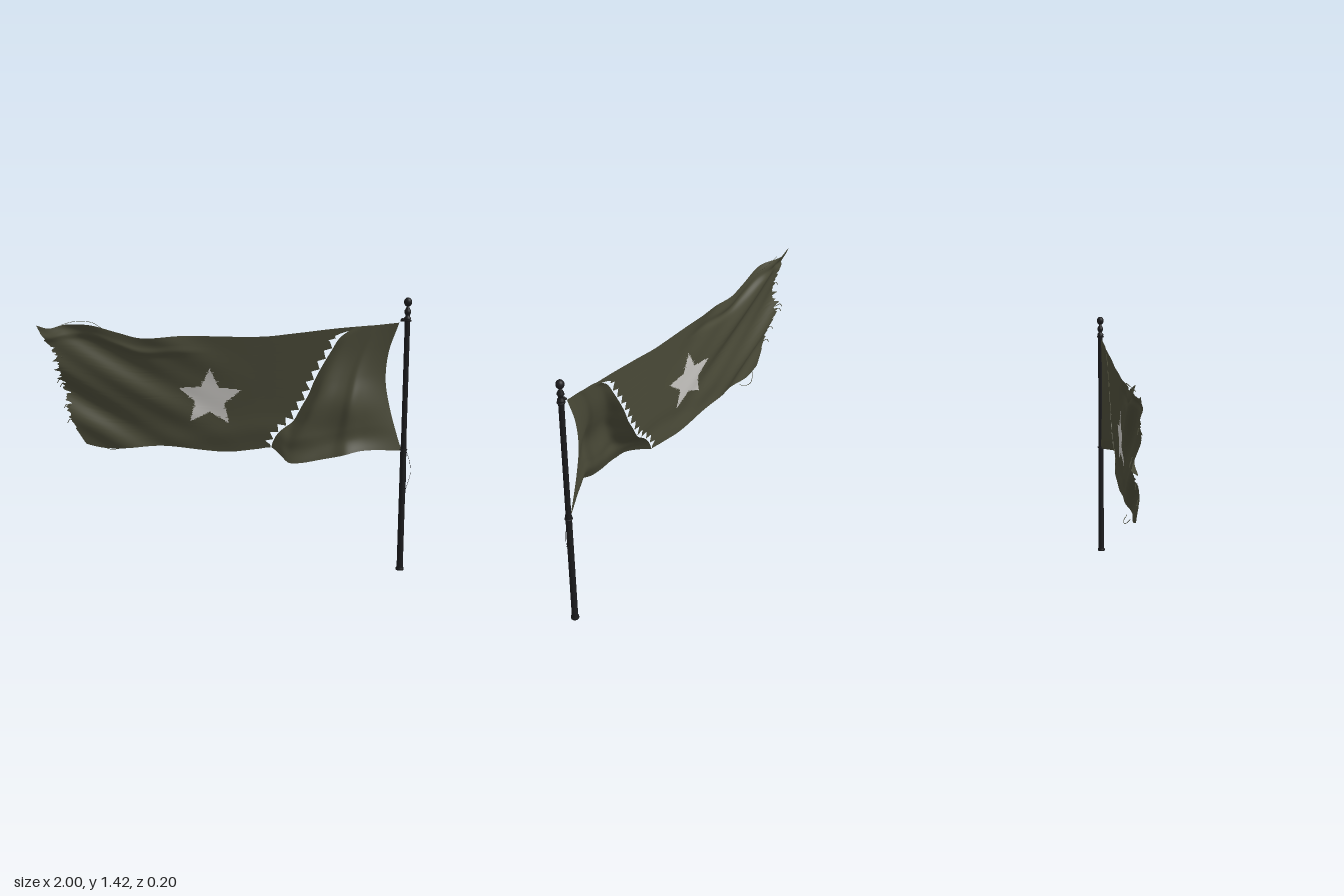
import * as THREE from 'three';

// Smooth interpolation through a short table of [position, value] pairs
function at(pts, t) {
  const n = pts.length - 1;
  if (t <= pts[0][0]) return pts[0][1];
  if (t >= pts[n][0]) return pts[n][1];
  let i = 0;
  while (t > pts[i + 1][0]) i++;
  const slope = (k) => {
    const a = pts[Math.max(k - 1, 0)], b = pts[Math.min(k + 1, n)];
    return (b[1] - a[1]) / (b[0] - a[0]);
  };
  const h = pts[i + 1][0] - pts[i][0], s = (t - pts[i][0]) / h, s2 = s * s, s3 = s2 * s;
  return (2 * s3 - 3 * s2 + 1) * pts[i][1] + (s3 - 2 * s2 + s) * h * slope(i)
    + (3 * s2 - 2 * s3) * pts[i + 1][1] + (s3 - s2) * h * slope(i + 1);
}

// Outline of the cloth: hems by x, side edges by height fraction v
const topHem = [[-1, 1.23], [-0.93, 1.215], [-0.85, 1.235], [-0.7, 1.24], [-0.55, 1.205], [-0.42, 1.178],
  [-0.2, 1.195], [0.22, 1.203], [0.4, 1.225], [0.6, 1.253], [0.8, 1.275], [0.92, 1.29]];
const bottomHem = [[-1, 0.68], [-0.8, 0.64], [-0.73, 0.6], [-0.6, 0.58], [-0.3, 0.605], [0.03, 0.59],
  [0.2, 0.612], [0.28, 0.625], [0.34, 0.61], [0.4, 0.578], [0.6, 0.61], [0.75, 0.645], [0.95, 0.635]];
const flyEdge = [[0, -0.73], [0.08, -0.78], [0.2, -0.82], [0.36, -0.84], [0.5, -0.87], [0.65, -0.88],
  [0.78, -0.9], [0.9, -0.955], [1, -1]];
const tearEdge = [[0, 0.275], [0.06, 0.285], [0.14, 0.31], [0.23, 0.355], [0.31, 0.395], [0.41, 0.43],
  [0.5, 0.465], [0.61, 0.495], [0.72, 0.535], [0.83, 0.58], [0.93, 0.625], [1, 0.7]];
const hoistEdge = [[0, 0.95], [0.14, 0.92], [0.33, 0.885], [0.55, 0.86], [0.78, 0.872], [1, 0.92]];

const ramp = (x, a, b) => THREE.MathUtils.smoothstep(x, a, b);
const ridge = (d, w) => Math.exp(-(d * d) / (w * w));

// Depth of the main panel: diagonal folds that grow toward the fly end
function mainDepth(x, y) {
  const e = 1 - ramp(x, -0.75, 0.2);
  const p = y + 0.5 * (x + 0.9) - 0.12 * (x + 0.9) ** 2;
  const hem = at(topHem, x) - 0.05 - 0.03 * ramp(x, -0.9, -0.2);
  return -0.047 - 0.015 * e + 0.017 * e * Math.sin(19 * p) + 0.007 * e * Math.sin(37 * p + 5 * x)
    + 0.01 * ridge(y - hem, 0.02) * ramp(-x, 0, 0.4)
    + 0.006 * ridge(y - 0.68 - 0.04 * Math.sin(6 * x), 0.06)
    - 0.012 * ramp(x, 0.3, 0.8);
}

// Depth of the hoist panel: a belly that swells toward the bottom
const bellyAcross = [[0, 0], [0.12, 0.82], [0.2, 1], [0.4, 0.87], [0.5, 0.85], [0.6, 0.93], [0.74, 0.6], [1, 0]];
const bellyUp = [[0, 1], [0.1, 0.84], [0.2, 0.84], [0.4, 0.75], [0.6, 0.45], [0.8, 0.18], [1, 0.04]];

// Grid of cloth between two side edges; returns attributes and cells
function clothGrid(nu, nv, left, right, depth) {
  const pos = [], cells = [];
  for (let j = 0; j <= nv; j++) {
    for (let i = 0; i <= nu; i++) {
      const u = i / nu, v = j / nv;
      const x = THREE.MathUtils.lerp(left(v), right(v), u);
      const y = THREE.MathUtils.lerp(at(bottomHem, x), at(topHem, x), v);
      pos.push(x, y, depth(x, y, u, v));
      if (i < nu && j < nv) {
        const a = j * (nu + 1) + i, c = a + nu + 1;
        cells.push([a, a + 1, c + 1, a, c + 1, c]);
      }
    }
  }
  const geo = new THREE.BufferGeometry();
  geo.setAttribute('position', new THREE.Float32BufferAttribute(pos, 3));
  geo.setIndex(cells.flat());
  geo.computeVertexNormals();
  return { geo, cells };
}

// Five-pointed star test around the emblem centre
function inStar(x, y) {
  const dx = (x + 0.05) / 0.178, dy = (y - 0.873) / 0.157;
  const sector = (2 * Math.PI) / 5;
  let a = Math.atan2(dx, dy);
  a = Math.abs(a - sector * Math.round(a / sector));
  const r = Math.hypot(dx, dy), px = r * Math.cos(a), py = r * Math.sin(a);
  const ix = 0.46 * Math.cos(sector / 2), iy = 0.46 * Math.sin(sector / 2);
  return (px - 1) * iy - py * (ix - 1) < 0;
}

export function createModel() {
  const model = new THREE.Group();
  const cloth = new THREE.MeshStandardMaterial({ color: 0x494937, side: THREE.DoubleSide });
  cloth.name = 'olive cloth';
  const pale = new THREE.MeshStandardMaterial({ color: 0xc6c4c0, side: THREE.DoubleSide });
  pale.name = 'pale star';
  const iron = new THREE.MeshStandardMaterial({ color: 0x1b1b1d });
  iron.name = 'black iron';
  const add = (name, geo, mat, x = 0, y = 0, z = 0) => {
    const m = new THREE.Mesh(geo, mat);
    m.name = name;
    m.position.set(x, y, z);
    model.add(m);
    return m;
  };

  // Main panel, frayed at the fly end and saw-toothed along the tear
  const fray = (v) => at(flyEdge, v) + Math.sin(Math.PI * v)
    * (0.013 * Math.sin(v * 71) + 0.011 * Math.sin(v * 133 + 1) + 0.008 * Math.sin(v * 219));
  const teeth = (v) => at(tearEdge, v) - 0.045 * ((v * 13) % 1) * ramp(v, 0, 0.06) * (1 - ramp(v, 0.93, 0.97))
    + 0.09 * ramp(v, 0.965, 1) - 0.025 * ridge(v - 0.94, 0.025);
  const main = clothGrid(210, 104, fray, teeth, mainDepth);
  const p = main.geo.attributes.position;
  const isStar = ([a, , c]) => inStar((p.getX(a) + p.getX(c)) / 2, (p.getY(a) + p.getY(c)) / 2);
  const star = main.geo.clone();
  star.setIndex(main.cells.filter(isStar).flat());
  main.geo.setIndex(main.cells.filter((c) => !isStar(c)).flat());
  add('mainPanel', main.geo, cloth);
  add('star', star, pale);

  // Hoist panel, billowing forward between the tear and the pole
  const hoist = clothGrid(60, 70, (v) => at(tearEdge, v) + 0.004, (v) => at(hoistEdge, v),
    (x, y, u, v) => THREE.MathUtils.lerp(mainDepth(x, y), -0.06, u)
      + 0.148 * at(bellyAcross, u) * at(bellyUp, v)
      + 0.008 * Math.sin(Math.PI * u) * Math.sin(18 * y + 6 * x) * (1 - v));
  add('hoistPanel', hoist.geo, cloth);

  // Pole with foot, collars and ball finial
  const px = 0.96, pz = -0.06;
  const profile = [[0, 0], [0.021, 0], [0.021, 0.01], [0.016, 0.016], [0.0155, 0.66], [0.0135, 0.67], [0.0135, 1.305],
    [0.018, 1.308], [0.018, 1.316], [0.011, 1.322], [0.011, 1.33], [0.017, 1.342], [0.016, 1.352],
    [0.008, 1.366], [0.008, 1.374], [0, 1.376]];
  add('pole', new THREE.LatheGeometry(profile.map(([r, y]) => new THREE.Vector2(r, y)), 20), iron, px, 0, pz);
  add('finial', new THREE.SphereGeometry(0.02, 20, 14), iron, px, 1.394, pz).scale.y = 1.15;

  // Ties holding the cloth to the pole
  for (const [y, x] of [[1.3, 0.925], [0.64, 0.945]]) {
    add('tieRing', new THREE.TorusGeometry(0.017, 0.0035, 6, 18), iron, px, y, pz).rotation.x = Math.PI / 2;
    const tie = add('tie', new THREE.CylinderGeometry(0.005, 0.005, px - x, 8), iron, (px + x) / 2, y, pz);
    tie.rotation.z = Math.PI / 2;
    add('hook', new THREE.SphereGeometry(0.009, 8, 6), iron, x + 0.012, y + 0.006, pz);
  }

  // Loose cords and threads
  const cord = (name, pts, r, mat) => add(name, new THREE.TubeGeometry(
    new THREE.CatmullRomCurve3(pts.map((q) => new THREE.Vector3(...q))), 24, r, 5), mat);
  cord('halyard', [[0.972, 0.66, -0.06], [0.975, 0.5, -0.058], [0.973, 0.34, -0.06]], 0.0025, iron);
  cord('looseCord', [[0.972, 0.64, -0.06], [0.992, 0.58, -0.065], [0.999, 0.52, -0.068], [0.985, 0.46, -0.065],
    [0.974, 0.42, -0.06]], 0.0008, iron);
  cord('topThread', [[-0.86, 1.235, -0.07], [-0.8, 1.252, -0.09], [-0.7, 1.25, -0.095], [-0.64, 1.225, -0.07]], 0.0012, cloth);
  cord('bottomThread', [[-0.66, 0.6, -0.07], [-0.61, 0.567, -0.09], [-0.56, 0.572, -0.09], [-0.52, 0.588, -0.07]], 0.0015, cloth);
  for (const [x, y] of [[-0.87, 1.06], [-0.875, 0.93], [-0.86, 0.91], [-0.83, 0.8], [-0.81, 0.72]]) {
    const z = mainDepth(x, y);
    cord('flyThread', [[x + 0.02, y + 0.005, z], [x - 0.01, y + 0.008, z - 0.01], [x - 0.025, y - 0.012, z - 0.015]], 0.002, cloth);
  }
  return model;
}
